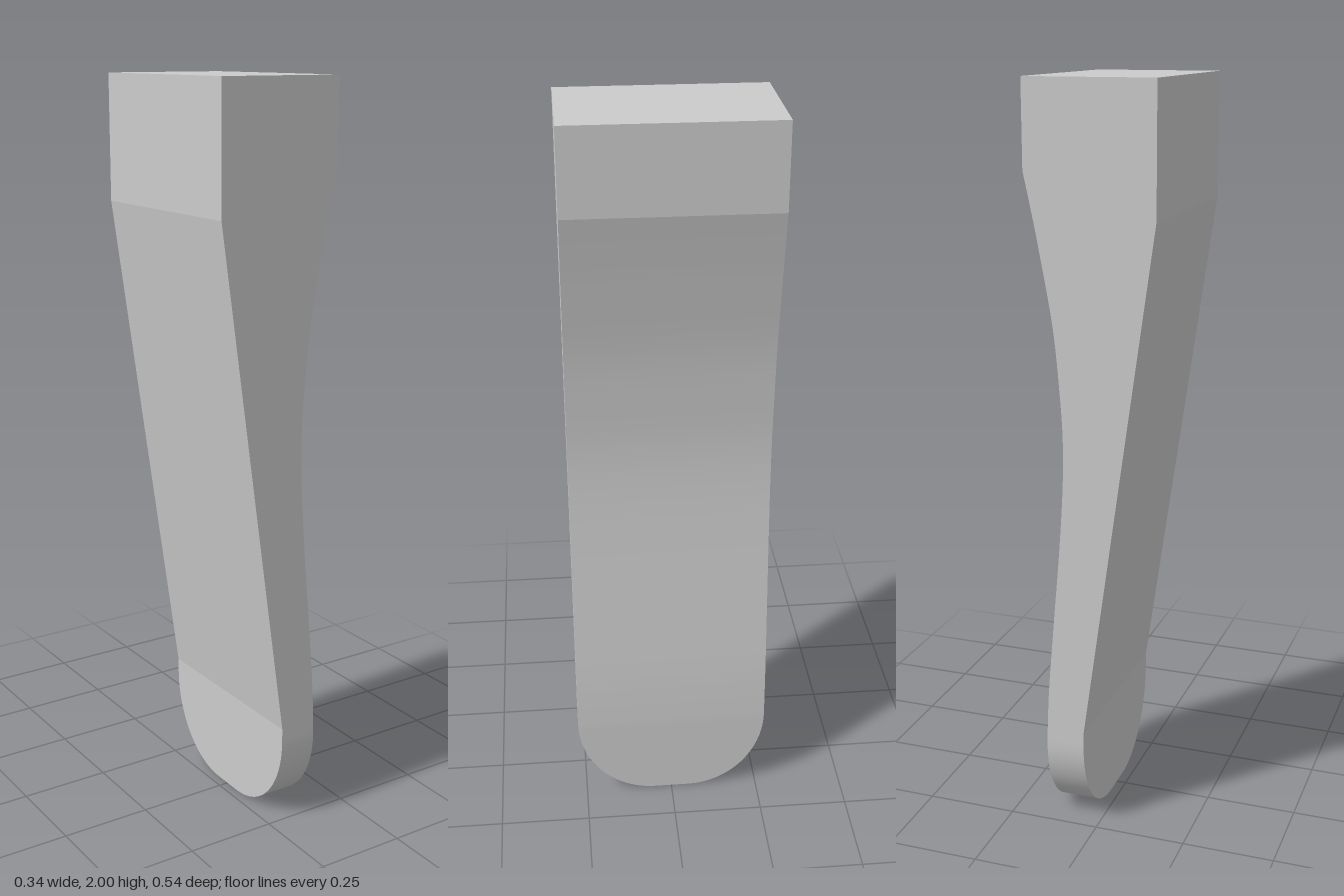
import * as THREE from 'three';
import { toCreasedNormals } from 'three/addons/utils/BufferGeometryUtils.js';

const HALF_DEPTH = 0.27, TOE_HEIGHT = 0.25, TOE_WIDTH = 0.22;

// Hollowed +x side: x as a function of height, through a smooth curve
const hollow = new THREE.SplineCurve([
  [0.132, 0.25], [0.125, 0.4], [0.108, 0.6], [0.09, 0.8], [0.078, 0.97], [0.075, 1.1],
  [0.081, 1.22], [0.098, 1.4], [0.133, 1.6], [0.153, 1.7], [0.17, 1.78],
].map(([x, y]) => new THREE.Vector2(x, y))).getPoints(60);

// Straight tapering -x side, vertical at both ends
function taper(y) {
  const t = THREE.MathUtils.clamp((y - 0.29) / (1.67 - 0.29), 0, 1);
  return THREE.MathUtils.lerp(0.027, -0.17, t);
}

// Cross-sections from bottom to top: height, x range, half depth
function sections() {
  const rows = [];
  for (let i = 0; i < 20; i++) {
    const a = (i / 20) * Math.PI / 2;
    rows.push({
      y: TOE_HEIGHT * (1 - Math.cos(a)), right: 0.132,
      depth: HALF_DEPTH - TOE_WIDTH * (1 - Math.sin(a)),
    });
  }
  for (const p of hollow) rows.push({ y: p.y, right: p.x, depth: HALF_DEPTH });
  // rows exactly on the two bends of the tapering side
  for (const y of [0.29, 1.67]) {
    const i = rows.findIndex((r) => r.y > y), a = rows[i - 1], b = rows[i];
    const t = (y - a.y) / (b.y - a.y);
    rows.splice(i, 0, { y, right: THREE.MathUtils.lerp(a.right, b.right, t), depth: HALF_DEPTH });
  }
  rows.push({ y: 2, right: 0.17, depth: HALF_DEPTH });
  return rows;
}

function legGeometry() {
  const rings = sections().map(({ y, right, depth }) => [
    [taper(y), y, depth], [right, y, depth], [right, y, -depth], [taper(y), y, -depth],
  ]);
  const positions = [];
  const quad = (a, b, c, d) => positions.push(...a, ...b, ...c, ...a, ...c, ...d);
  for (let i = 0; i < rings.length - 1; i++) {
    const lo = rings[i], hi = rings[i + 1];
    for (let k = 0; k < 4; k++) {
      const n = (k + 1) % 4;
      quad(lo[k], lo[n], hi[n], hi[k]);
    }
  }
  // end caps
  const top = rings[rings.length - 1], bottom = rings[0];
  quad(top[0], top[1], top[2], top[3]);
  quad(bottom[3], bottom[2], bottom[1], bottom[0]);

  const geometry = new THREE.BufferGeometry();
  geometry.setAttribute('position', new THREE.Float32BufferAttribute(positions, 3));
  return toCreasedNormals(geometry, 0.12);
}

export function createModel() {
  const group = new THREE.Group();
  group.name = 'taperedLeg';
  const leg = new THREE.Mesh(legGeometry(), new THREE.MeshStandardMaterial({ color: 0xcccccc }));
  leg.name = 'leg';
  group.add(leg);
  return group;
}
